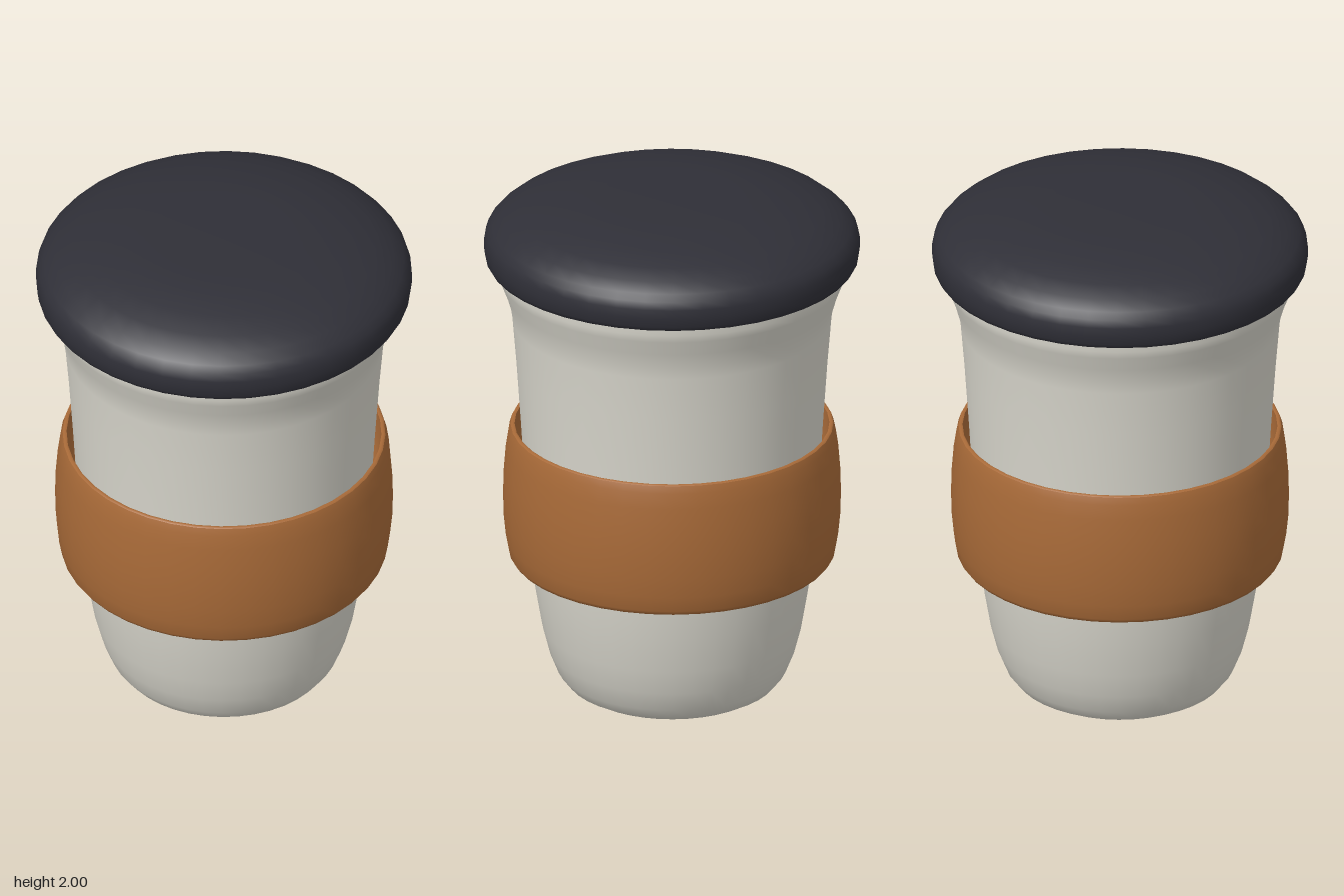
import * as THREE from 'three';

const SEGMENTS = 40;

function material(name, color) {
  const m = new THREE.MeshStandardMaterial({ color });
  m.name = name;
  return m;
}

// Each [radius, height] profile runs so that its outside faces outward
function turned(name, profile, mat) {
  const points = profile.map(([r, y]) => new THREE.Vector2(r, y));
  const mesh = new THREE.Mesh(new THREE.LatheGeometry(points, SEGMENTS), mat);
  mesh.name = name;
  return mesh;
}

export function createModel() {
  const ceramic = material('warm white', 0xd8d6cc);
  const leather = material('tan brown', 0xa86a38);
  const rubber = material('charcoal', 0x2f2f37);
  const group = new THREE.Group();
  group.name = 'travelCup';

  // Cup: rounded foot, gently tapered wall, flared rim
  group.add(turned('cupBase', [[0, 0], [0.28, 0]], ceramic));
  group.add(turned('cupBody', [
    [0.28, 0], [0.35, 0.01], [0.395, 0.035], [0.43, 0.08], [0.462, 0.16], [0.488, 0.26],
    [0.512, 0.4], [0.53, 0.54], [0.55, 0.8], [0.566, 1.07], [0.583, 1.32], [0.598, 1.5],
    [0.605, 1.55], [0.622, 1.61], [0.645, 1.67], [0.652, 1.7], [0.652, 1.74],
  ], ceramic));

  // Sleeve: bulged band with turned-in bottom and thin open top
  const sleeve = new THREE.Group();
  sleeve.name = 'sleeve';
  sleeve.add(turned('sleeveOuter', [
    [0.52, 0.56], [0.57, 0.541], [0.6, 0.543], [0.612, 0.56], [0.623, 0.62], [0.631, 0.7],
    [0.633, 0.79], [0.631, 0.88], [0.623, 0.98], [0.614, 1.04], [0.605, 1.068],
  ], leather));
  sleeve.add(turned('sleeveRim', [[0.605, 1.068], [0.598, 1.073], [0.59, 1.07]], leather));
  sleeve.add(turned('sleeveInner', [[0.59, 1.07], [0.588, 0.98], [0.575, 0.9], [0.545, 0.85]], leather));
  group.add(sleeve);

  // Lid: domed cap overhanging the rim, flat underneath
  group.add(turned('lidUnderside', [[0, 1.73], [0.67, 1.73]], rubber));
  group.add(turned('lid', [
    [0.67, 1.73], [0.69, 1.738], [0.7, 1.755], [0.705, 1.79], [0.704, 1.825], [0.695, 1.855],
    [0.675, 1.88], [0.635, 1.912], [0.57, 1.942], [0.48, 1.968], [0.37, 1.989],
    [0.25, 2], [0, 2],
  ], rubber));

  return group;
}
